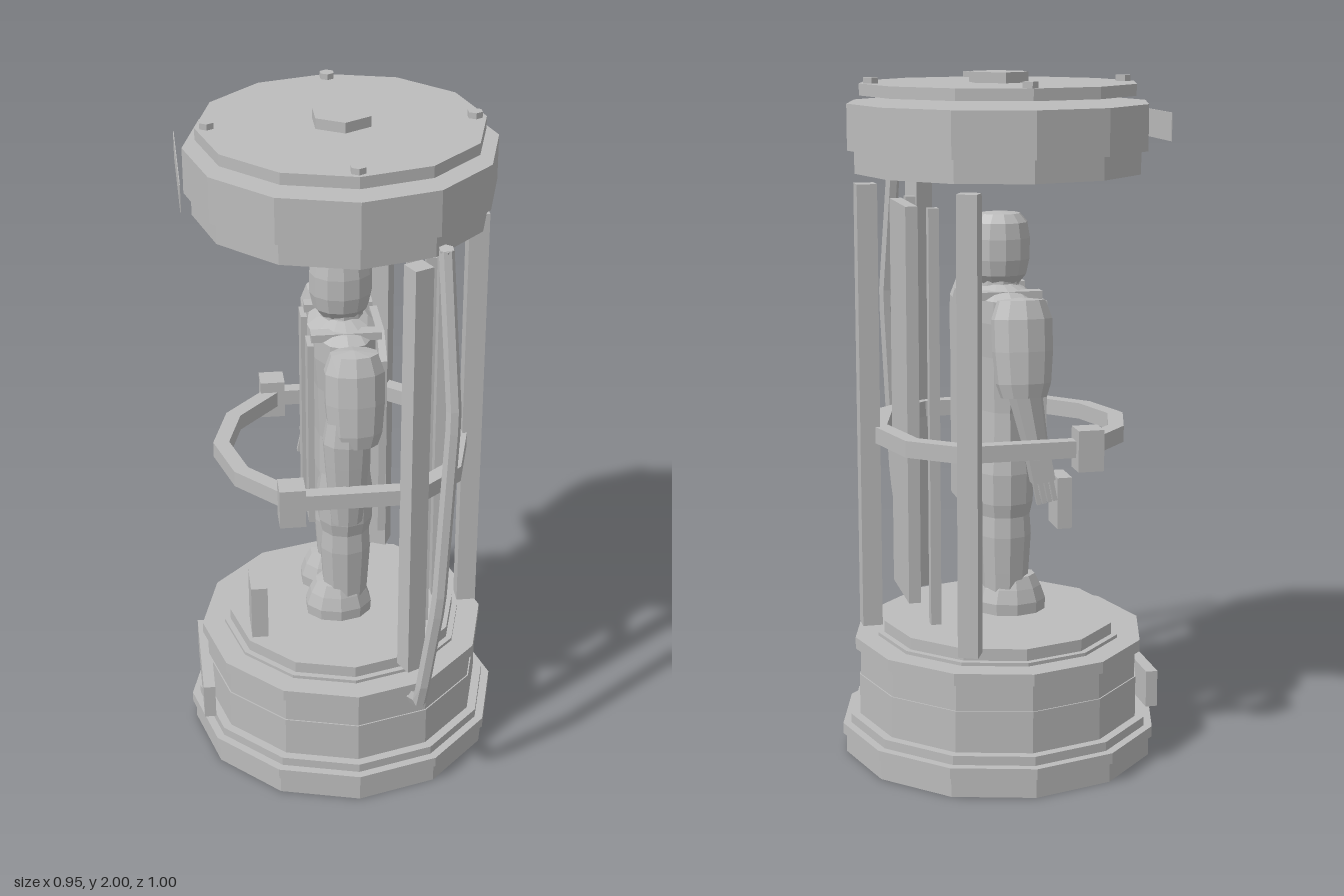
import * as THREE from 'three';

const grey = new THREE.MeshStandardMaterial({ color: 0xbcbcbc, flatShading: true });
grey.name = 'grey metal';

export function createModel() {
  const model = new THREE.Group();
  model.name = 'displayChamber';
  const chamber = new THREE.Group();
  chamber.name = 'chamber';
  chamber.position.z = -0.025;
  model.add(chamber);

  const add = (name, geometry, x = 0, y = 0, z = 0, parent = chamber) => {
    const mesh = new THREE.Mesh(geometry, grey);
    mesh.name = name;
    mesh.position.set(x, y, z);
    parent.add(mesh);
    return mesh;
  };
  // Box given by its extents
  const block = (name, x0, x1, y0, y1, z0, z1, parent = chamber) =>
    add(name, new THREE.BoxGeometry(x1 - x0, y1 - y0, z1 - z0),
      (x0 + x1) / 2, (y0 + y1) / 2, (z0 + z1) / 2, parent);
  // Turned form from [radius, height] pairs, listed upwards
  const turned = (name, profile, sides, x = 0, z = 0, parent = chamber) =>
    add(name, new THREE.LatheGeometry(profile.map(([r, y]) => new THREE.Vector2(r, y)), sides), x, 0, z, parent);

  // Stepped base and platform
  turned('base', [
    [0, 0], [0.465, 0], [0.465, 0.058], [0.475, 0.058], [0.475, 0.09], [0.45, 0.09], [0.45, 0.117],
    [0.423, 0.117], [0.423, 0.24], [0.419, 0.24], [0.419, 0.32], [0.434, 0.32], [0.434, 0.355], [0.365, 0.355],
    [0.365, 0.365], [0.347, 0.365], [0.347, 0.4], [0, 0.4],
  ], 12);

  // Lid, top plate, hub and bolts
  turned('lid', [[0, 1.72], [0.416, 1.72], [0.416, 1.785], [0.436, 1.785], [0.436, 1.915], [0, 1.915]], 12);
  turned('topPlate', [[0, 1.937], [0.4, 1.937], [0.4, 1.97], [0, 1.97]], 12);
  turned('hub', [[0, 1.97], [0.088, 1.97], [0.088, 2], [0, 2]], 6);
  for (let i = 0; i < 4; i++) {
    const a = i * Math.PI / 2;
    turned('bolt', [[0, 1.97], [0.022, 1.97], [0.022, 1.987], [0, 1.987]], 6, 0.367 * Math.cos(a), 0.367 * Math.sin(a));
  }

  // Front plates on base and lid, floating control box
  block('basePlate', -0.445, -0.41, 0.13, 0.24, -0.18, 0.18);
  block('lidPlate', -0.452, -0.45, 1.81, 1.89, -0.2, 0.2);
  block('controlBox', -0.305, -0.258, 0.565, 0.73, 0.28, 0.39);

  // Main posts
  for (const a of [-1.13, 0, 1.13]) {
    const post = add('mainPost', new THREE.BoxGeometry(0.058, 1.295, 0.058),
      0.386 * Math.cos(a), 1.045, 0.386 * Math.sin(a));
    post.rotation.y = -a;
  }

  // Rear panel with thin posts beside it
  block('rearPanel', 0.26, 0.295, 0.487, 1.637, -0.122, 0.122);
  for (const y of [0.72, 1.42]) block('panelStrip', 0.252, 0.26, y, y + 0.012, -0.06, 0.06);
  for (const s of [-1, 1]) {
    const z = s * 0.167;
    block('thinPost', 0.212, 0.242, 0.437, 1.637, z - 0.015, z + 0.015);
  }

  // Hand rail: faceted loop with a joint box on each side
  const half = [[0.355, 0], [0.3, 0.21], [0.17, 0.316], [-0.17, 0.316], [-0.31, 0.165], [-0.357, 0]];
  const loop = [...half, ...half.slice(1, -1).reverse().map(([x, z]) => [x, -z])];
  const outline = (k) => loop.map(([x, z]) => new THREE.Vector2(x * k, z * k));
  const railShape = new THREE.Shape(outline(1.066));
  railShape.holes.push(new THREE.Path(outline(0.934)));
  const railGeometry = new THREE.ExtrudeGeometry(railShape, { depth: 0.048, bevelEnabled: false });
  railGeometry.rotateX(Math.PI / 2);
  add('handRail', railGeometry, 0, 0.995);
  for (const s of [-1, 1]) add('railJoint', new THREE.BoxGeometry(0.074, 0.118, 0.074), -0.18, 0.97, s * 0.325);

  // Hanging cable from lid to base
  const cable = new THREE.CurvePath();
  const stops = [[0.227, 1.76, 0.405], [0.248, 1.3, 0.475], [0.215, 0.72, 0.508], [0.172, 0.37, 0.487], [0.17, 0.3, 0.375]]
    .map((p) => new THREE.Vector3(...p));
  for (let i = 0; i < stops.length - 1; i++) cable.add(new THREE.LineCurve3(stops[i], stops[i + 1]));
  add('cable', new THREE.TubeGeometry(cable, 24, 0.021, 6, false));
  const capEnd = add('cableCap', new THREE.CylinderGeometry(0.021, 0.021, 0.006, 6), 0.227, 1.76, 0.405);
  capEnd.rotation.x = 0.15;

  // Standing figure, facing -x
  const figure = new THREE.Group();
  figure.name = 'figure';
  chamber.add(figure);

  turned('head', [[0, 1.395], [0.06, 1.4], [0.08, 1.425], [0.09, 1.47], [0.09, 1.53], [0.082, 1.575], [0.06, 1.6], [0, 1.607]],
    12, -0.003, 0, figure).scale.z = 0.88;
  turned('neck', [[0.065, 1.35], [0.06, 1.41]], 8, 0, 0, figure);
  turned('torso', [[0, 0.76], [0.14, 0.77], [0.15, 0.92], [0.145, 1.04], [0.155, 1.2], [0.172, 1.3], [0.172, 1.365], [0.13, 1.385], [0.07, 1.4], [0, 1.4]],
    12, 0, 0, figure).scale.x = 0.58;

  // Long open coat: tails at the front, one wide fall at the back with sloped shoulders
  const fall = new THREE.Shape([[-0.145, 0.745], [0.145, 0.745], [0.15, 1.31], [0.08, 1.375], [-0.08, 1.375], [-0.15, 1.31]]
    .map(([z, y]) => new THREE.Vector2(z, y)));
  const coatBack = add('coatBack', new THREE.ExtrudeGeometry(fall, { depth: 0.022, bevelEnabled: false }), 0.09, 0, 0, figure);
  coatBack.rotation.y = Math.PI / 2;
  for (const s of [-1, 1]) {
    const tail = block('coatFront', -0.112, -0.094, 0.78, 1.36, -0.035, 0.035, figure);
    tail.position.z = s * 0.095;
    const strap = block('shoulderStrap', -0.1, 0.1, 1.365, 1.388, -0.02, 0.02, figure);
    strap.position.z = s * 0.1;
  }

  // Legs and shoes
  for (const s of [-1, 1]) {
    const z = s * 0.08;
    turned('leg', [[0.066, 0.5], [0.07, 0.56], [0.077, 0.67], [0.073, 0.73], [0.082, 0.77], [0.085, 0.86], [0.075, 0.93]],
      10, 0, z, figure).scale.z = 0.93;
    const shoe = turned('shoe', [[0, 0.437], [0.1, 0.437], [0.102, 0.47], [0.088, 0.51], [0.07, 0.545], [0, 0.55]],
      10, -0.02, z, figure);
    shoe.scale.z = 0.78;
  }

  // Arms hang slightly outwards; the right arm reaches forwards
  const upperArm = [[0, -0.285], [0.05, -0.28], [0.06, -0.24], [0.066, -0.15], [0.066, -0.06], [0.052, -0.008], [0, 0]];
  for (const s of [-1, 1]) {
    const shoulder = new THREE.Group();
    shoulder.name = s > 0 ? 'leftArm' : 'rightArm';
    shoulder.position.set(s > 0 ? 0.008 : -0.012, 1.388, s * 0.222);
    shoulder.rotation.x = -s * 0.12;
    figure.add(shoulder);
    turned('upperArm', upperArm, 10, 0, 0, shoulder).scale.x = 1.32;
  }
  turned('leftForearm', [[0, 0.855], [0.036, 0.855], [0.043, 0.92], [0.052, 1.05], [0.056, 1.12], [0.045, 1.2]],
    10, -0.015, 0.25, figure).scale.x = 1.25;

  const forearm = new THREE.Group();
  forearm.name = 'rightForearm';
  forearm.position.set(-0.015, 1.13, -0.252);
  forearm.rotation.z = -0.2;
  figure.add(forearm);
  turned('sleeve', [[0, -0.2], [0.034, -0.2], [0.042, -0.1], [0.05, 0], [0, 0.03]], 8, 0, 0, forearm);
  block('hand', -0.032, 0.032, -0.27, -0.19, -0.026, 0.026, forearm);
  for (let i = 0; i < 4; i++) {
    const x = -0.024 + i * 0.016;
    block('finger', x - 0.006, x + 0.006, -0.335, -0.265, -0.008, 0.008, forearm);
  }
  return model;
}
